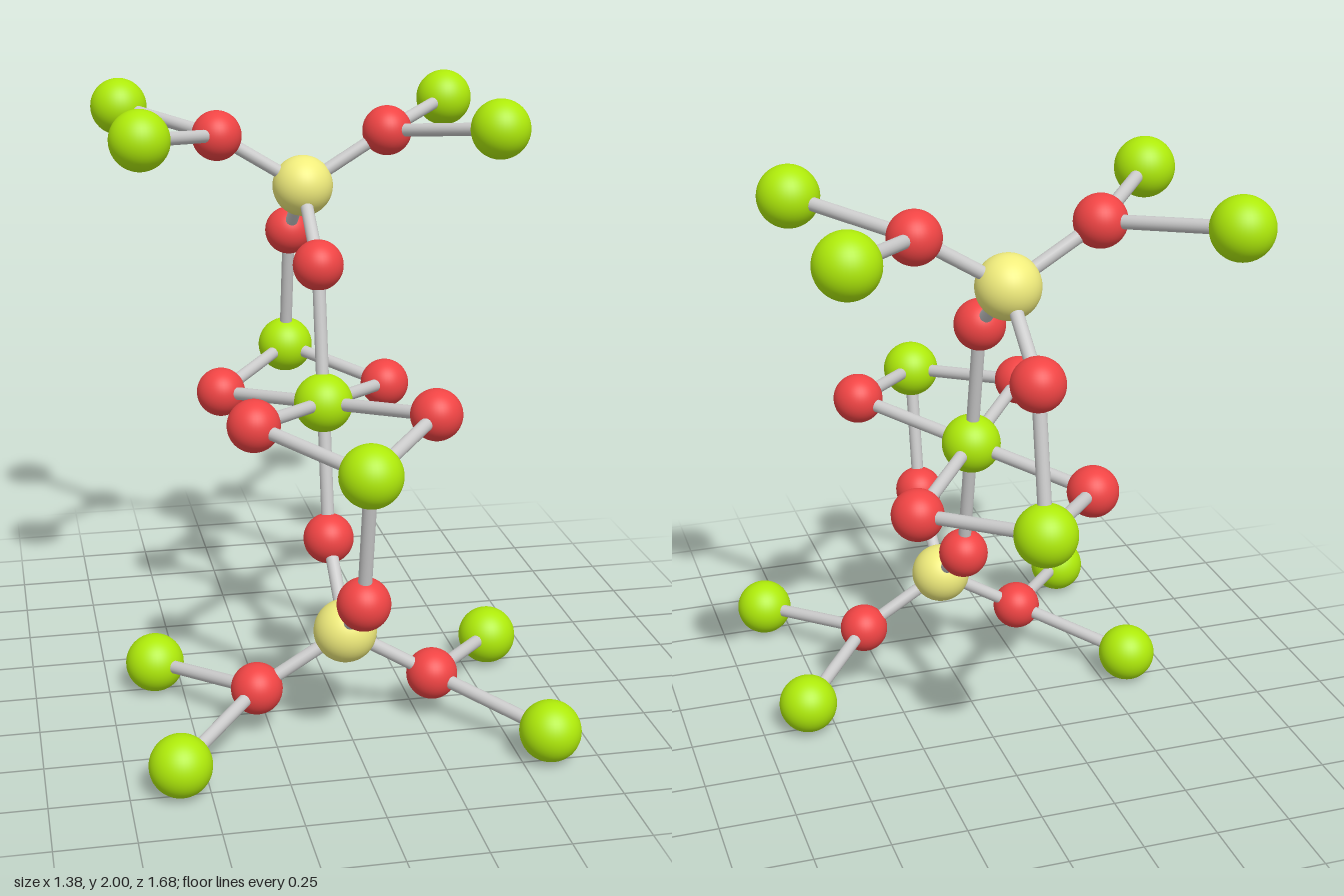
import * as THREE from 'three';

const V = (x, y, z) => new THREE.Vector3(x, y, z);
const kinds = {
  greenAtom: { radius: 0.099, color: 0xaeea0a },
  redAtom: { radius: 0.085, color: 0xf04444 },
  yellowAtom: { radius: 0.104, color: 0xf0ec7c },
};
for (const kind of Object.values(kinds)) {
  kind.geometry = new THREE.SphereGeometry(kind.radius, 40, 28);
  kind.material = new THREE.MeshStandardMaterial({ color: kind.color });
}
const rodGeometry = new THREE.CylinderGeometry(0.022, 0.022, 1, 20, 1, true);
const rodMaterial = new THREE.MeshStandardMaterial({ color: 0xcccccc });

function addAtom(parent, name, position) {
  const mesh = new THREE.Mesh(kinds[name].geometry, kinds[name].material);
  mesh.name = name;
  mesh.position.copy(position);
  parent.add(mesh);
}

// Rod stretched between two atom centres
function addBond(parent, a, b) {
  const direction = b.clone().sub(a);
  const mesh = new THREE.Mesh(rodGeometry, rodMaterial);
  mesh.name = 'bond';
  mesh.scale.y = direction.length();
  mesh.position.copy(a).add(b).multiplyScalar(0.5);
  mesh.quaternion.setFromUnitVectors(V(0, 1, 0), direction.normalize());
  parent.add(mesh);
}

// Half of the cluster; s = 1 is the upper back half, s = -1 its inversion.
// Heights are measured from the central atom.
function buildHalf(s, centre) {
  const half = new THREE.Group();
  half.name = s > 0 ? 'upperBackHalf' : 'lowerFrontHalf';
  const P = (x, y, z) => V(s * x, 1 + s * y, s * z);
  const Z = -0.742, MID = Z / 2;

  const hub = P(0, 0.667, MID);
  const outer = P(0, 0, Z);
  addAtom(half, 'yellowAtom', hub);
  addAtom(half, 'greenAtom', outer);

  // Legs from the hub down to the central and outer green atoms
  for (const [z, green] of [[-0.09, centre], [-0.652, outer]]) {
    const red = P(0, 0.452, z);
    addAtom(half, 'redAtom', red);
    addBond(half, hub, red);
    addBond(half, red, green);
  }

  for (const side of [-1, 1]) {
    // Flat ring joining the central and outer green atoms
    const bridge = P(side * 0.295, -0.057, MID);
    addAtom(half, 'redAtom', bridge);
    addBond(half, bridge, centre);
    addBond(half, bridge, outer);

    // Arm with two end atoms
    const elbow = P(side * 0.295, 0.848, MID);
    addAtom(half, 'redAtom', elbow);
    addBond(half, hub, elbow);
    for (const z of [0, Z]) {
      const tip = P(side * 0.591, 0.901, z);
      addAtom(half, 'greenAtom', tip);
      addBond(half, elbow, tip);
    }
  }
  return half;
}

export function createModel() {
  const model = new THREE.Group();
  model.name = 'ballAndStickCluster';
  const centre = V(0, 1, 0);
  addAtom(model, 'greenAtom', centre);
  model.add(buildHalf(1, centre), buildHalf(-1, centre));
  return model;
}
